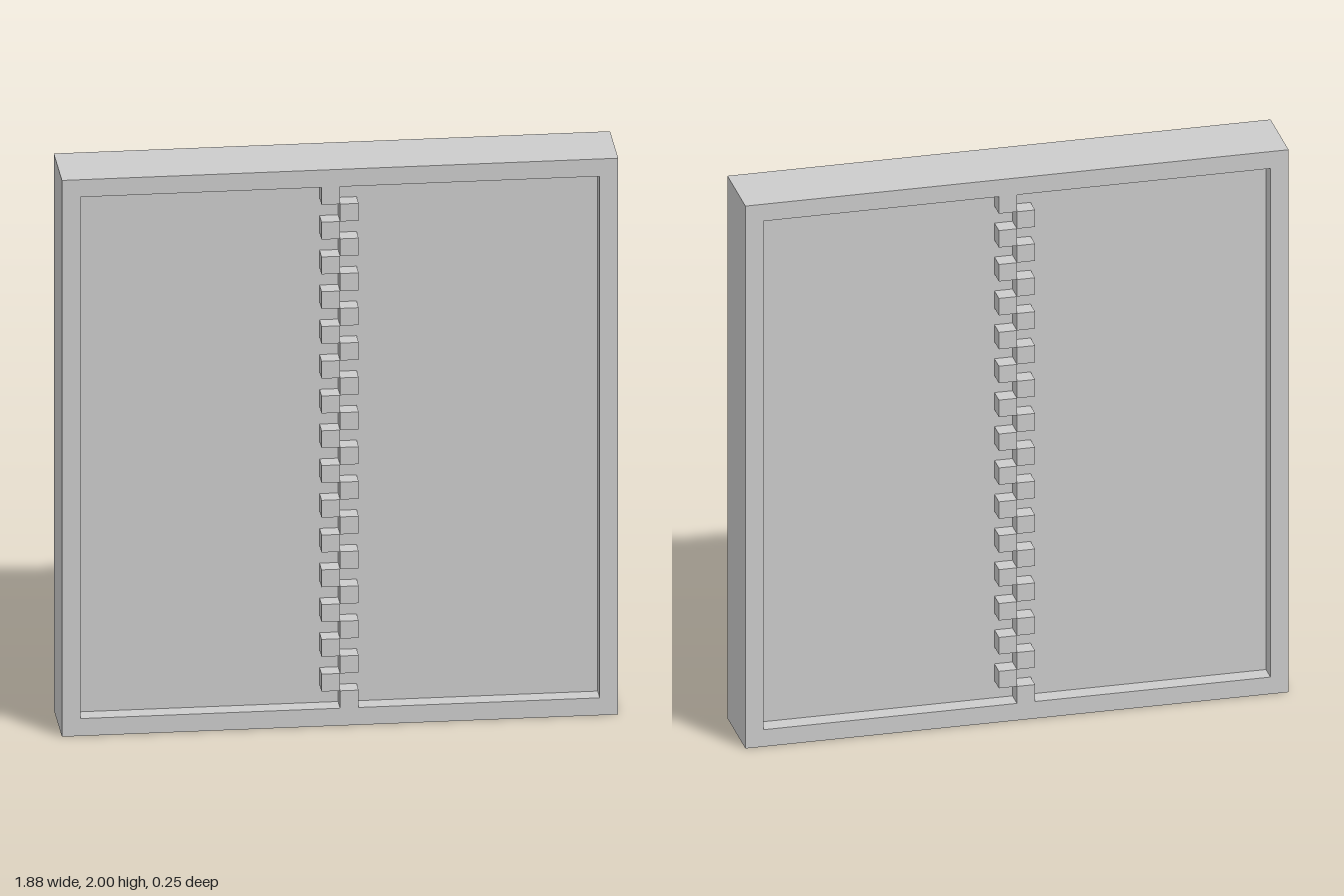
import * as THREE from 'three';

const U = 1 / 16; // grid unit: wall thickness, tooth size and recess depth
const W = 30 * U, H = 32 * U, D = 4 * U;

function rectPoints(w, h) {
  return [[-w, -h], [w, -h], [w, h], [-w, h]].map(([x, y]) => new THREE.Vector2(x / 2, y / 2));
}

export function createModel() {
  const model = new THREE.Group();
  model.name = 'recessedPanel';
  const material = new THREE.MeshStandardMaterial({ color: 0xcccccc, flatShading: true });

  function add(parent, geometry, name, x, y, z) {
    const mesh = new THREE.Mesh(geometry, material);
    mesh.name = name;
    mesh.position.set(x, y, z);
    parent.add(mesh);
  }

  // Outer rim, open in the middle
  const rim = new THREE.Shape(rectPoints(W, H));
  rim.holes.push(new THREE.Path(rectPoints(W - 2 * U, H - 2 * U)));
  const rimGeometry = new THREE.ExtrudeGeometry(rim, { depth: D, bevelEnabled: false });
  add(model, rimGeometry, 'frame', 0, H / 2, -D / 2);

  // Panel set back from the rim on both faces
  add(model, new THREE.BoxGeometry(W - 2 * U, H - 2 * U, D - 2 * U), 'panel', 0, H / 2, 0);

  // Column of staggered square teeth, one per row, alternating sides
  const toothGeometry = new THREE.BoxGeometry(U, U, U);
  for (const name of ['frontTeeth', 'backTeeth']) {
    const teeth = new THREE.Group();
    teeth.name = name;
    for (let row = 1; row <= 30; row++) {
      const side = row % 2 ? 1 : -1;
      add(teeth, toothGeometry, 'tooth', side * U / 2, (row + 0.5) * U, D / 2 - U / 2);
    }
    // The back column is the front one turned half way round
    if (name === 'backTeeth') teeth.rotation.y = Math.PI;
    model.add(teeth);
  }
  return model;
}
